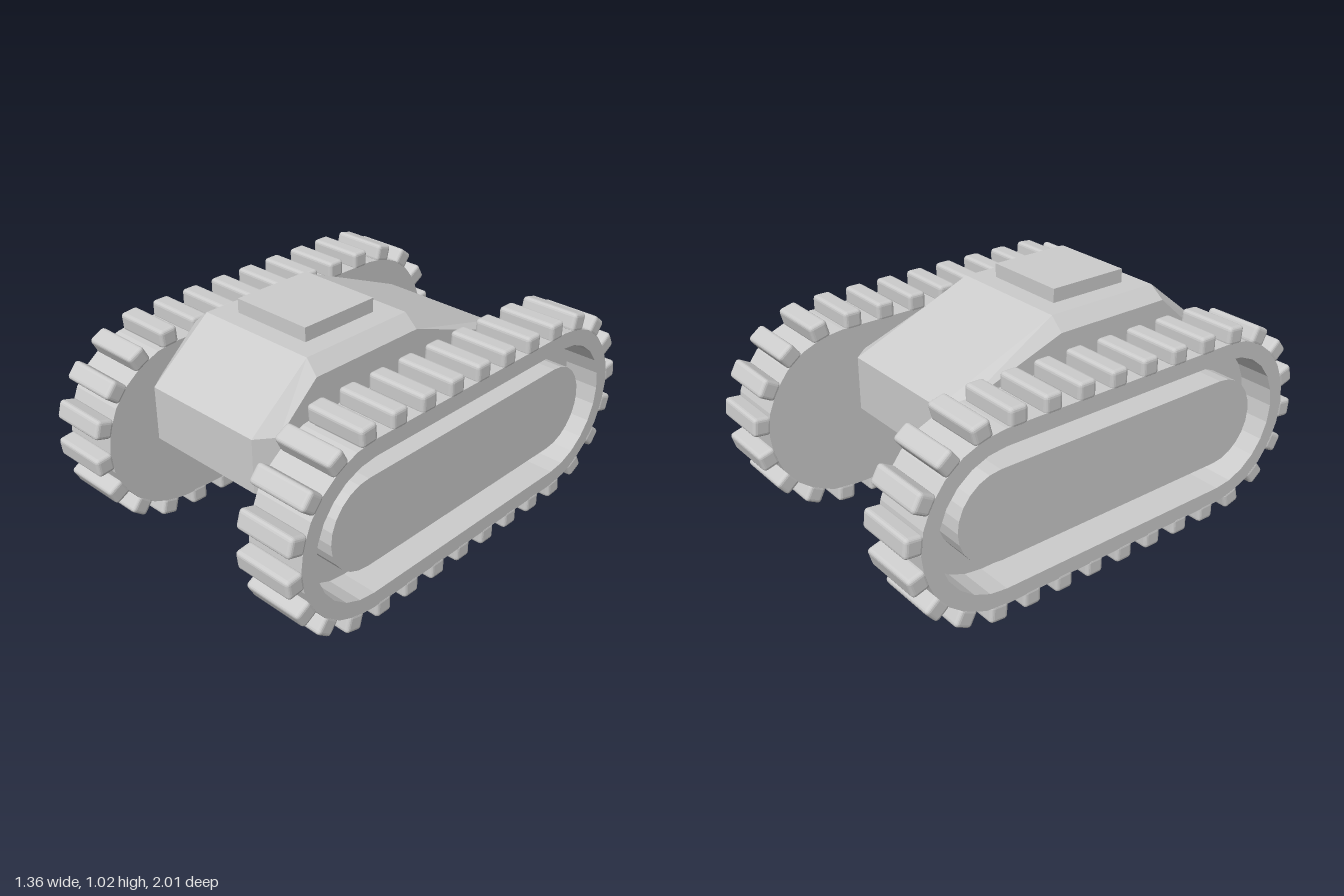
import * as THREE from 'three';
import { RoundedBoxGeometry } from 'three/addons/geometries/RoundedBoxGeometry.js';

const material = new THREE.MeshStandardMaterial({ color: 0xcccccc, flatShading: true });
const MID_Y = 0.44;      // height of the track centre line
const HALF = 0.567;      // half length of the straight track run

function addMesh(parent, name, geometry, x = 0, y = 0, z = 0) {
  const mesh = new THREE.Mesh(geometry, material);
  mesh.name = name;
  mesh.position.set(x, y, z);
  parent.add(mesh);
  return mesh;
}

// Points of a long rounded outline, counter-clockwise
function stadium(radius, steps = 12) {
  const points = [];
  for (const side of [1, -1]) {
    for (let i = 0; i <= steps; i++) {
      const a = -Math.PI / 2 + (Math.PI * i) / steps;
      points.push(new THREE.Vector2(side * (HALF + radius * Math.cos(a)), side * radius * Math.sin(a)));
    }
  }
  return points;
}

function slab(radius, from, to, holeRadius) {
  const shape = new THREE.Shape(stadium(radius));
  if (holeRadius) shape.holes.push(new THREE.Path(stadium(holeRadius)));
  return new THREE.ExtrudeGeometry(shape, { depth: to - from, bevelEnabled: false }).translate(0, 0, from);
}

// Faceted hull: side profiles joined across the width, with chamfered sides
function hullGeometry() {
  const wide = [[0.51, 0.96], [0.79, 0.735], [0.79, 0.505], [0.51, 0.275],
    [-0.03, 0.275], [-0.58, 0.505], [-0.58, 0.735], [-0.03, 0.96]];
  const inset = [[0.52, 0.905], [0.71, 0.735], [0.71, 0.505], [0.52, 0.325],
    [-0.03, 0.325], [-0.51, 0.505], [-0.51, 0.735], [-0.03, 0.905]];
  const loops = [[-0.34, inset], [-0.28, wide], [0.28, wide], [0.34, inset]];
  const n = wide.length;
  const positions = [];
  const index = [];
  for (const [x, profile] of loops) for (const [z, y] of profile) positions.push(x, y, z);
  for (let l = 0; l < 3; l++) {
    for (let i = 0; i < n; i++) {
      const a = l * n + i, b = l * n + ((i + 1) % n);
      index.push(a, b, b + n, a, b + n, a + n);
    }
  }
  for (let i = 1; i < n - 1; i++) {
    index.push(0, i + 1, i);
    index.push(3 * n, 3 * n + i, 3 * n + i + 1);
  }
  const geometry = new THREE.BufferGeometry();
  geometry.setAttribute('position', new THREE.Float32BufferAttribute(positions, 3));
  geometry.setIndex(index);
  const flat = geometry.toNonIndexed();
  flat.computeVertexNormals();
  return flat;
}

// Position and outward angle at a distance along the track path
function trackPoint(distance, radius) {
  const straight = 2 * HALF, arc = Math.PI * radius;
  const half = straight + arc;
  const s = distance % (2 * half);
  const sign = s < half ? 1 : -1;
  const t = s % half;
  const angle = t < straight ? 0 : (t - straight) / radius;
  const along = t < straight ? t - HALF : HALF;
  return {
    z: sign * (along + radius * Math.sin(angle)),
    y: MID_Y + sign * radius * Math.cos(angle),
    angle: angle + (sign < 0 ? Math.PI : 0),
  };
}

function buildTrack(side) {
  const track = new THREE.Group();
  track.name = side > 0 ? 'leftTrack' : 'rightTrack';

  // Solid inner wall, open outer rim and raised centre plate
  const body = new THREE.Group();
  body.name = 'trackBody';
  body.position.y = MID_Y;
  body.rotation.y = (side * Math.PI) / 2;
  addMesh(body, 'innerWall', slab(0.37, 0.412, 0.52));
  addMesh(body, 'outerRim', slab(0.37, 0.52, 0.678, 0.3));
  addMesh(body, 'centrePlate', slab(0.193, 0.51, 0.645));
  track.add(body);

  // Treads spaced evenly round the track
  const count = 30, pathRadius = 0.397;
  const length = 4 * HALF + 2 * Math.PI * pathRadius;
  const tread = new RoundedBoxGeometry(0.27, 0.08, 0.082, 2, 0.016);
  for (let i = 0; i < count; i++) {
    const p = trackPoint(HALF + 0.442 + (i * length) / count, pathRadius);
    const mesh = addMesh(track, 'tread', tread, side * 0.545, p.y, p.z);
    mesh.rotation.x = p.angle;
  }
  return track;
}

export function createModel() {
  const model = new THREE.Group();
  model.name = 'trackedVehicle';

  addMesh(model, 'hull', hullGeometry());
  addMesh(model, 'hatch', new THREE.BoxGeometry(0.376, 0.08, 0.37), 0, 0.98, 0.242);

  // Tracks and the axles that carry them
  for (const side of [1, -1]) {
    model.add(buildTrack(side));
    for (const z of [0.373, -0.173]) {
      addMesh(model, 'axle', new THREE.BoxGeometry(0.15, 0.12, 0.165), side * 0.365, 0.62, z);
    }
  }
  return model;
}
